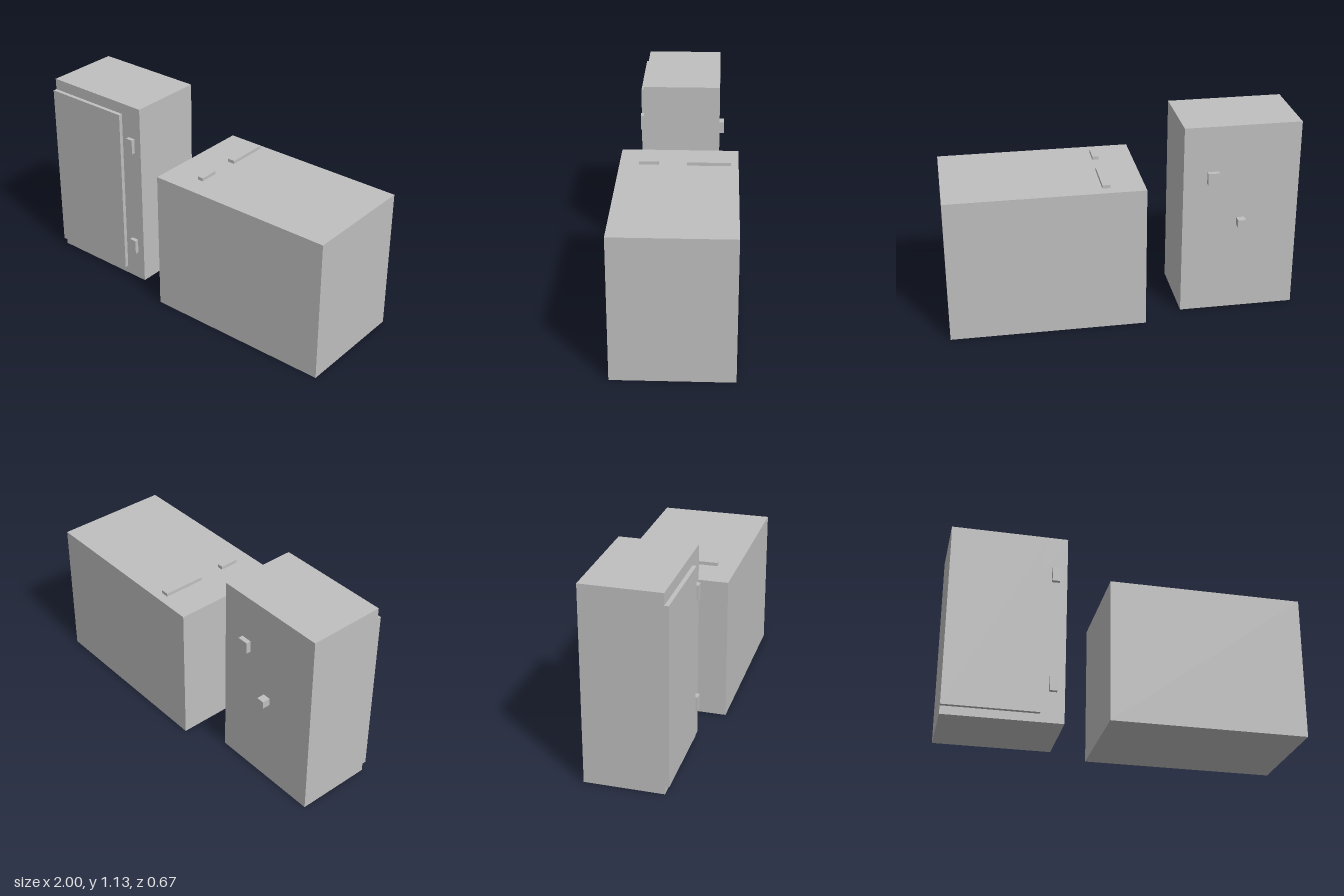
import * as THREE from 'three';

export function createModel() {
  const group = new THREE.Group();
  const grey = new THREE.MeshStandardMaterial({ color: 0xbfbfbf });
  grey.name = 'plain grey';

  // Adds a box spanning the given ranges on each axis
  function block(name, [x0, x1], [y0, y1], [z0, z1]) {
    const mesh = new THREE.Mesh(new THREE.BoxGeometry(x1 - x0, y1 - y0, z1 - z0), grey);
    mesh.position.set((x0 + x1) / 2, (y0 + y1) / 2, (z0 + z1) / 2);
    mesh.name = name;
    group.add(mesh);
  }

  // Tall cabinet with a raised door panel
  block('cabinetBody', [-1, -0.335], [0, 1.133], [-0.222, 0.222]);
  block('doorPanel', [-1, -0.47], [0.048, 1.067], [0.222, 0.245]);

  // Front catches beside the door
  for (const [name, y] of [['lowerCatch', 0.18], ['upperCatch', 0.848]]) {
    block(name, [-0.423, -0.38], [y, y + 0.088], [0.222, 0.245]);
  }

  // Fittings on the cabinet back
  block('backPlate', [-0.535, -0.47], [0.797, 0.866], [-0.25, -0.222]);
  block('backKnob', [-0.693, -0.647], [0.53, 0.575], [-0.268, -0.222]);

  // Large chest with two bars just above its lid
  block('chestBody', [-0.11, 1], [0, 0.833], [-0.333, 0.333]);
  block('longBar', [0.085, 0.13], [0.842, 0.861], [-0.289, -0.045]);
  block('shortBar', [0.09, 0.125], [0.842, 0.861], [0.112, 0.222]);

  return group;
}
